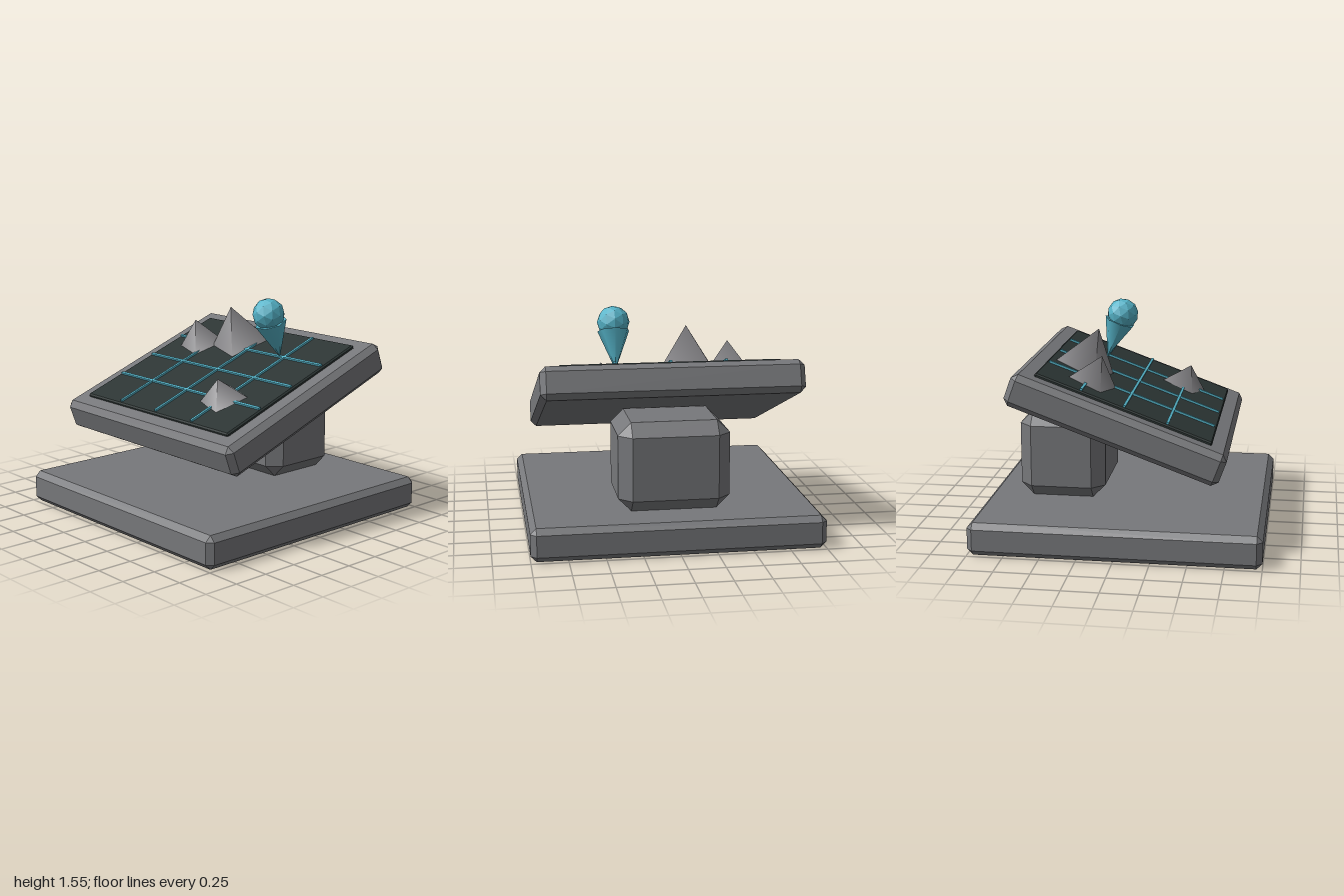
import * as THREE from 'three';
import { ConvexGeometry } from 'three/addons/geometries/ConvexGeometry.js';

const mat = (name, color) => {
  const m = new THREE.MeshStandardMaterial({ color });
  m.name = name;
  return m;
};

// Box with every edge cut by the same chamfer
function chamferBox(w, h, d, c) {
  const half = [w / 2, h / 2, d / 2];
  const points = [];
  for (let full = 0; full < 3; full++)
    for (const sx of [-1, 1]) for (const sy of [-1, 1]) for (const sz of [-1, 1]) {
      const p = half.map((v, i) => (i === full ? v : v - c));
      points.push(new THREE.Vector3(sx * p[0], sy * p[1], sz * p[2]));
    }
  return new ConvexGeometry(points);
}

export function createModel() {
  const model = new THREE.Group();
  model.name = 'mapTable';
  const grey = mat('casing grey', 0x77787b);
  const dark = mat('screen dark', 0x2c3534);
  const cyan = mat('marker cyan', 0x56b4c9);
  const rock = mat('mountain grey', 0x848386);

  const add = (parent, name, geometry, material, x, y, z) => {
    const mesh = new THREE.Mesh(geometry, material);
    mesh.name = name;
    mesh.position.set(x, y, z);
    parent.add(mesh);
    return mesh;
  };

  // Floor slab and pedestal
  add(model, 'base', chamferBox(2, 0.23, 2, 0.04), grey, 0, 0.115, 0);
  add(model, 'pedestal', chamferBox(0.77, 0.62, 0.61, 0.09), grey, 0, 0.54, -0.46);

  // Tilted table: everything on it is placed in its own frame
  const table = new THREE.Group();
  table.name = 'table';
  table.position.y = 0.888;
  table.rotation.x = THREE.MathUtils.degToRad(20);
  model.add(table);
  add(table, 'tableBody', chamferBox(1.8, 0.23, 1.53, 0.04), grey, 0, 0, 0);
  add(table, 'screen', chamferBox(1.53, 0.04, 1.27, 0.01), dark, 0, 0.117, 0);

  // Grid lines across the screen
  for (const i of [-1, 0, 1]) {
    add(table, 'gridLineAcross', new THREE.BoxGeometry(1.5, 0.018, 0.018), cyan, 0, 0.142, i * 0.309);
    add(table, 'gridLineDeep', new THREE.BoxGeometry(0.018, 0.018, 1.23), cyan, i * 0.385, 0.142, 0);
  }

  // Mountains: four-sided cones [x, z, radius, height]
  for (const [x, z, r, h] of [
    [-0.155, -0.39, 0.225, 0.295],
    [-0.467, -0.277, 0.18, 0.2],
    [0.383, 0.303, 0.176, 0.16],
  ]) {
    const peak = add(table, 'mountain', new THREE.ConeGeometry(r, h, 4), rock, x, 0.137 + h / 2, z);
    peak.rotation.y = 0.5;
  }

  // Location pin: inverted cone with a faceted ball
  const tip = add(table, 'pinCone', new THREE.ConeGeometry(0.115, 0.28, 7), cyan, 0.345, 0.282, -0.307);
  tip.rotation.x = Math.PI;
  const ball = new THREE.IcosahedronGeometry(0.115, 1);
  ball.computeVertexNormals();
  add(table, 'pinBall', ball, cyan, 0.345, 0.483, -0.307);

  return model;
}
